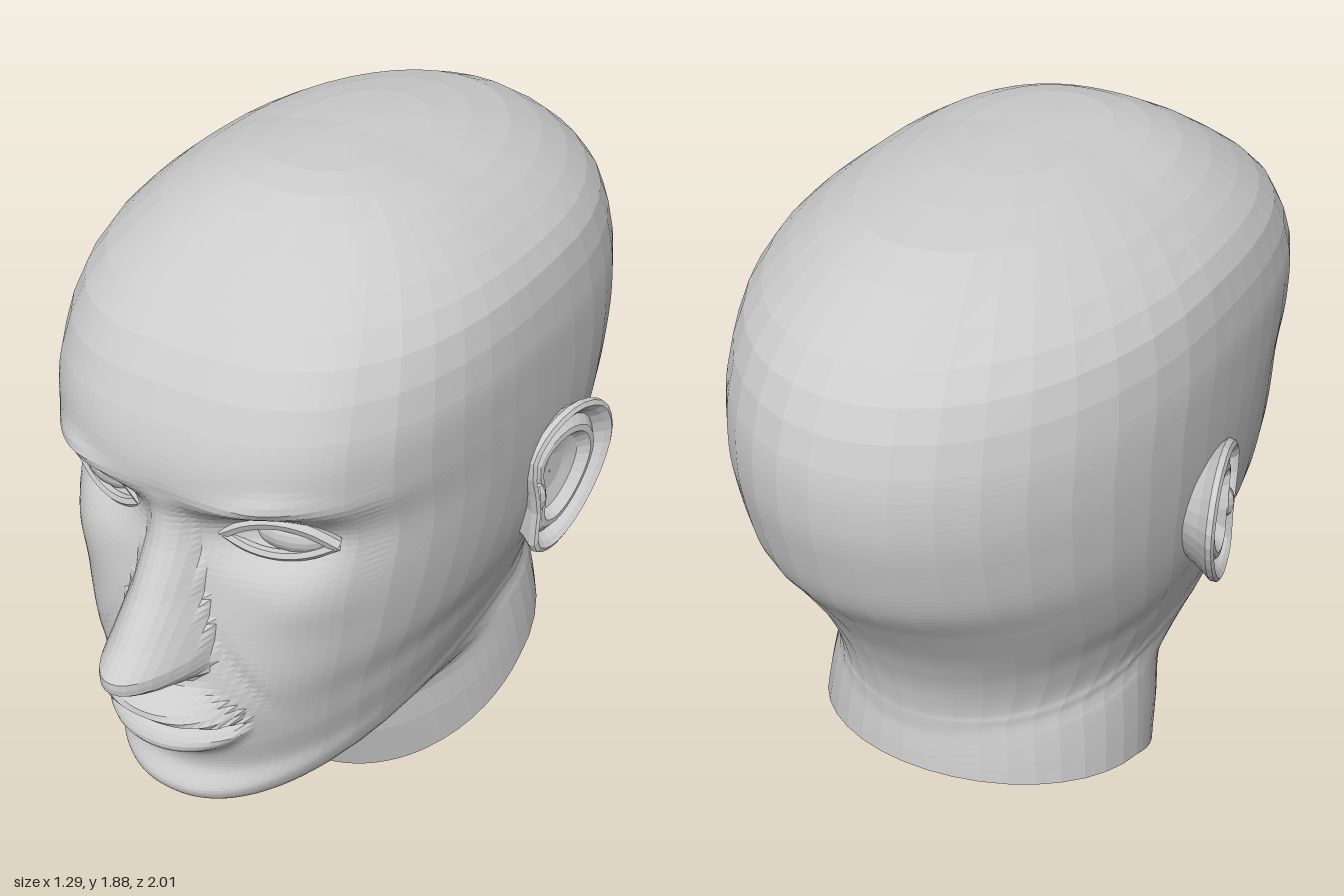
import * as THREE from 'three';

const skin = new THREE.MeshStandardMaterial({ color: 0xcccccc, flatShading: true, side: THREE.DoubleSide });

// Rings of the head: front z, y | side x, z, y | back z, y | squareness of the front half
const cranium = [
  [-0.05, 1.877, 0, -0.05, 1.877, -0.06, 1.877, 2.2],
  [0.20, 1.865, 0.17, -0.05, 1.857, -0.31, 1.865, 2.3],
  [0.36, 1.815, 0.33, -0.07, 1.805, -0.60, 1.815, 2.4],
  [0.52, 1.72, 0.455, -0.12, 1.72, -0.79, 1.725, 2.6],
  [0.66, 1.61, 0.53, -0.15, 1.63, -0.92, 1.61, 2.7],
  [0.75, 1.47, 0.562, -0.17, 1.48, -0.985, 1.47, 2.75],
];
const face = [
  [0.785, 1.335, 0.567, -0.20, 1.34, -1.0, 1.33, 2.7],
  [0.75, 1.20, 0.565, -0.20, 1.20, -0.98, 1.20, 2.6],
  [0.755, 1.07, 0.555, -0.20, 1.07, -0.94, 1.07, 2.6],
  [0.78, 0.95, 0.54, -0.18, 0.95, -0.86, 0.95, 2.5],
  [0.81, 0.82, 0.515, -0.15, 0.84, -0.78, 0.82, 2.35],
  [0.825, 0.70, 0.48, -0.12, 0.75, -0.735, 0.72, 2.2],
  [0.81, 0.60, 0.46, -0.11, 0.68, -0.715, 0.66, 2.2],
  [0.79, 0.50, 0.44, -0.12, 0.62, -0.705, 0.61, 2.2],
  [0.82, 0.43, 0.425, -0.15, 0.58, -0.70, 0.57, 2.2],
];
const neck = [
  [0.78, 0.38, 0.42, -0.18, 0.55, -0.70, 0.55, 2.2],
  [0.68, 0.35, 0.415, -0.20, 0.53, -0.70, 0.53, 2.15],
  [0.42, 0.335, 0.418, -0.22, 0.50, -0.70, 0.51, 2.1],
  [0.27, 0.305, 0.425, -0.23, 0.47, -0.702, 0.49, 2],
  [0.22, 0.16, 0.44, -0.25, 0.36, -0.71, 0.44, 2],
  [0.17, 0.0, 0.45, -0.27, 0.25, -0.716, 0.39, 2],
];

// Nose: y, height above the face, half width
const nose = [
  [1.30, 0, 0.05], [1.24, 0.012, 0.06], [1.15, 0.05, 0.075], [1.04, 0.107, 0.095],
  [0.95, 0.165, 0.122], [0.90, 0.214, 0.132], [0.87, 0.205, 0.132],
  [0.84, 0.16, 0.122], [0.822, 0.05, 0.11], [0.80, 0, 0.10],
];

const bell = (v, centre, width) => Math.exp(-(((v - centre) / width) ** 2));

function noseAt(y) {
  for (let i = 0; i < nose.length - 1; i++) {
    const [a, b] = [nose[i], nose[i + 1]];
    if (y <= a[0] && y >= b[0]) {
      const k = (a[0] - y) / (a[0] - b[0]);
      return [a[1] + (b[1] - a[1]) * k, a[2] + (b[2] - a[2]) * k];
    }
  }
  return [0, 0.1];
}

// Forward relief of the face at half-side position x and height y
function relief(x, y) {
  let d = 0;
  // nose and nostrils
  const [height, width] = noseAt(y);
  d += height * Math.max(0, 1 - (x / width) ** 2.2);
  d -= 0.04 * bell(x, 0.055, 0.025) * bell(y, 0.832, 0.014);
  // eye sockets and brow ridge
  d -= 0.085 * bell(x, 0.235, 0.13) * bell(y, 1.19, 0.075);
  d += 0.028 * bell(x, 0.25, 0.15) * bell(y, 1.29 + 0.025 * bell(x, 0.28, 0.1), 0.035);
  // cheekbones and cheek folds
  d += 0.018 * bell(x, 0.34, 0.1) * bell(y, 1.03, 0.08);
  d -= 0.012 * bell(x, 0.14 + 0.5 * (0.93 - y), 0.025) * bell(y, 0.82, 0.1);
  // lips
  const taper = Math.sqrt(Math.max(0, 1 - (x / 0.205) ** 2));
  const line = 0.688 - 0.3 * x * x;
  d += 0.085 * taper * bell(y, line + 0.047 * taper, 0.036 * taper + 0.008);
  d += 0.07 * taper * bell(y, line - 0.062 * taper, 0.044 * taper + 0.008);
  d -= 0.045 * Math.min(1, taper * 2) * bell(y, line, 0.013);
  return d;
}

// Skin closed rings of points into a surface
function loft(rings) {
  const n = rings[0].length, index = [];
  for (let i = 0; i < rings.length - 1; i++) {
    for (let j = 0; j < n; j++) {
      const a = i * n + j, b = i * n + (j + 1) % n;
      index.push(a, a + n, b, b, a + n, b + n);
    }
  }
  const geometry = new THREE.BufferGeometry();
  geometry.setAttribute('position', new THREE.Float32BufferAttribute(rings.flat(2), 3));
  geometry.setIndex(index);
  geometry.computeVertexNormals();
  return geometry;
}

// One closed ring of the head, fine over the face and coarser behind
function headRing([fz, fy, sx, sz, sy, bz, by, n]) {
  const half = [];
  const other = v => Math.pow(Math.max(0, 1 - v ** n), 1 / n);
  const front = (s, c) => {
    const x = sx * s, y = sy + (fy - sy) * c;
    half.push([x, y, sz + (fz - sz) * c + relief(x, y)]);
  };
  for (let i = 0; i <= 20; i++) front(i * 0.035, other(i * 0.035));
  const edge = other(0.7);
  for (let i = 1; i <= 8; i++) {
    const c = edge * (1 - i / 8);
    front(other(c), c);
  }
  for (let i = 1; i <= 10; i++) {
    const t = i / 10 * Math.PI / 2, c = Math.sin(t);
    half.push([i === 10 ? 0 : sx * Math.cos(t), sy + (by - sy) * c, sz + (bz - sz) * c]);
  }
  const mirrored = half.slice(1, -1).reverse().map(([x, y, z]) => [-x, y, z]);
  return [...half, ...mirrored];
}

// Smooth curve from a to b, with neighbours p and q
function blend(p, a, b, q, t) {
  const cubic = 3 * (a - b) + q - p;
  const square = 2 * p - 5 * a + 4 * b - q;
  return a + 0.5 * t * (b - p + t * (square + t * cubic));
}

function headGeometry() {
  const keys = [...cranium, ...face, ...neck], rings = [];
  const last = keys.length - 1;
  for (let i = 0; i < last; i++) {
    const inFace = i >= cranium.length - 1 && i < cranium.length + face.length;
    const steps = inFace ? 8 : i < cranium.length ? 2 : 3;
    const p = keys[Math.max(0, i - 1)], a = keys[i], b = keys[i + 1], q = keys[Math.min(last, i + 2)];
    for (let k = 0; k < steps; k++) {
      const ring = a.map((v, j) => blend(p[j], v, b[j], q[j], k / steps));
      rings.push(headRing(ring));
    }
  }
  rings.push(headRing(keys[last]));
  return loft(rings);
}

// Ear: the outline scaled through back, rim, fold and hollow
function earGeometry() {
  const outline = new THREE.CatmullRomCurve3([
    [0, 1.12], [-0.06, 1.19], [-0.17, 1.22], [-0.275, 1.18], [-0.32, 1.08],
    [-0.285, 0.96], [-0.19, 0.845], [-0.10, 0.805], [-0.035, 0.83], [-0.03, 0.96],
  ].map(([z, y]) => new THREE.Vector3(0, y, z)), true).getPoints(28).slice(0, -1);
  const levels = [ // scale, outward offset
    [0.7, -0.1], [0.9, -0.03], [1, -0.005], [0.99, 0.01], [0.93, 0.016], [0.86, 0.005],
    [0.78, -0.018], [0.66, 0.002], [0.58, 0.004], [0.48, -0.022], [0.25, -0.032], [0.01, -0.032],
  ];
  return loft(levels.map(([s, out]) => outline.map(p => {
    const z = -0.13 + (p.z + 0.13) * s, y = 1.02 + (p.y - 1.02) * s;
    return [0.555 - 0.24 * z + out, y, z];
  })));
}

// Eyelid: a thin tube arched over or under the eye
function lidGeometry(rise, radius) {
  const points = [-1, -0.5, 0, 0.5, 1].map(t => new THREE.Vector3(
    0.238 + 0.128 * t, 1.182 + rise * (1 - t * t), 0.658 - 0.046 * t - 0.01 * t * t));
  return new THREE.TubeGeometry(new THREE.CatmullRomCurve3(points), 14, radius, 6);
}

export function createModel() {
  const model = new THREE.Group();
  model.name = 'humanHead';
  const add = (parent, name, geometry) => {
    const mesh = new THREE.Mesh(geometry, skin);
    mesh.name = name;
    parent.add(mesh);
    return mesh;
  };
  add(model, 'headAndNeck', headGeometry());

  // Parts repeated on both sides
  for (const side of [1, -1]) {
    const group = new THREE.Group();
    group.name = side > 0 ? 'leftFeatures' : 'rightFeatures';
    group.scale.x = side;
    add(group, 'ear', earGeometry());
    const tragus = add(group, 'earTragus', new THREE.SphereGeometry(1, 8, 6));
    tragus.position.set(0.56, 0.99, -0.05);
    tragus.scale.set(0.025, 0.045, 0.025);
    const eye = add(group, 'eyeball', new THREE.SphereGeometry(1, 20, 14));
    eye.position.set(0.235, 1.188, 0.565);
    eye.scale.set(0.125, 0.07, 0.1);
    add(group, 'upperEyelid', lidGeometry(0.05, 0.018));
    add(group, 'lowerEyelid', lidGeometry(-0.042, 0.014));
    model.add(group);
  }
  return model;
}
